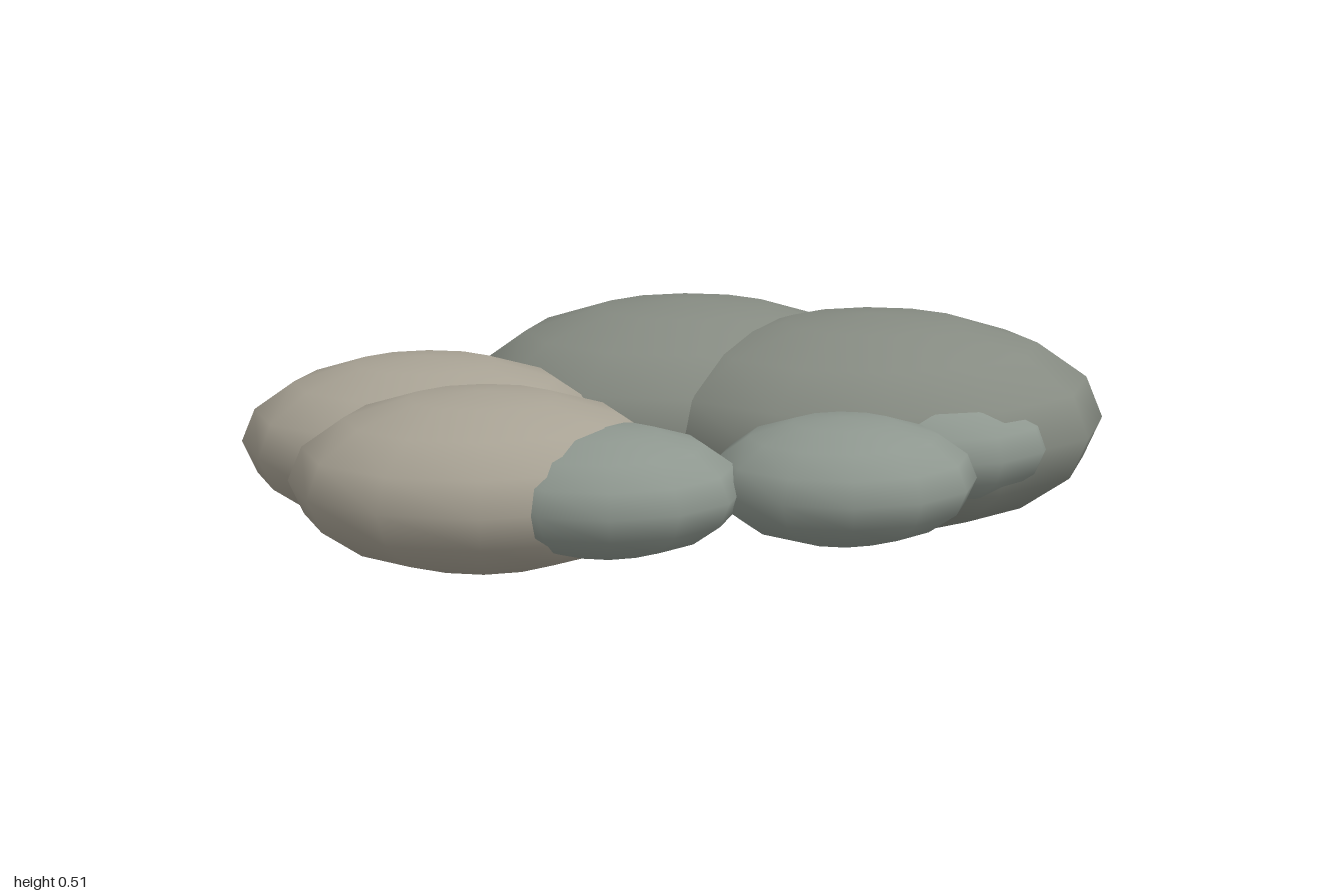
import * as THREE from 'three';

// Ring of flattened, overlapping pebbles of three kinds
const MID = 0.255;
const KINDS = {
  largeStone: { size: [0.545, 0.255, 0.39], color: 0x868b82, at: [[0.025, -0.28], [0.45, -0.105]] },
  tanStone: { size: [0.42, 0.195, 0.3], color: 0xa8a294, at: [[-0.58, 0.025], [-0.44, 0.345]] },
  smallStone: { size: [0.29, 0.138, 0.22], color: 0x8e978f, at: [[-0.175, 0.445], [0.33, 0.383], [0.55, 0.085]] },
};

export function createModel() {
  const group = new THREE.Group();
  group.name = 'stoneRing';
  for (const [name, { size, color, at }] of Object.entries(KINDS)) {
    // scaling the geometry itself keeps the smooth normals correct
    const geometry = new THREE.SphereGeometry(1, 12, 8).scale(...size);
    const material = new THREE.MeshStandardMaterial({ color });
    at.forEach(([x, z], i) => {
      const stone = new THREE.Mesh(geometry, material);
      stone.name = `${name}${i + 1}`;
      stone.position.set(x, MID, z);
      group.add(stone);
    });
  }
  return group;
}
